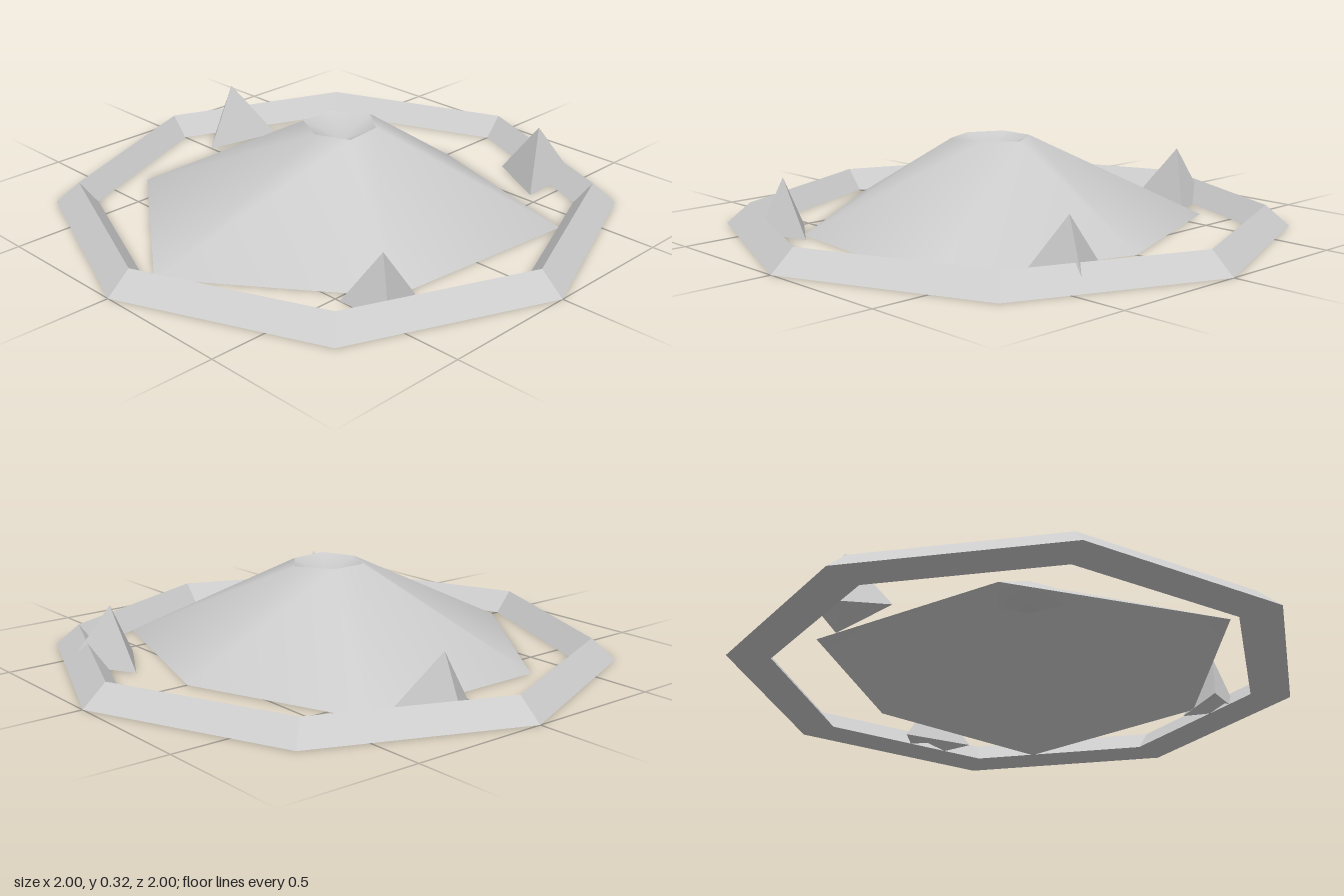
import * as THREE from 'three';

const flat = new THREE.MeshStandardMaterial({ color: 0xcccccc, flatShading: true, side: THREE.DoubleSide });
const smooth = new THREE.MeshStandardMaterial({ color: 0xcccccc, side: THREE.DoubleSide });

function mesh(name, geometry, material) {
  const m = new THREE.Mesh(geometry, material);
  m.name = name;
  return m;
}

function build(points, index) {
  const g = new THREE.BufferGeometry();
  g.setAttribute('position', new THREE.Float32BufferAttribute(points.flat(), 3));
  g.setIndex(index);
  g.computeVertexNormals();
  return g;
}

// Turn [x, z] corners into points at height y
const loop = (corners, y) => corners.map(([x, z]) => [x, y, z]);

// Wall joining two loops of equal length
function wall(lower, upper) {
  const n = lower.length, index = [];
  for (let i = 0; i < n; i++) {
    const j = (i + 1) % n;
    index.push(i, j, n + j, i, n + j, n + i);
  }
  return build([...lower, ...upper], index);
}

// Fan from a loop to one point
function fan(rim, tip) {
  const n = rim.length, index = [];
  for (let i = 0; i < n; i++) index.push(i, (i + 1) % n, n);
  return build([...rim, tip], index);
}

export function createModel() {
  const model = new THREE.Group();
  model.name = 'moundWithRing';

  // Eight-sided ring with a triangular section
  const section = [[1, 0], [0.915, 0.075], [0.85, 0], [1, 0]].map(([r, y]) => new THREE.Vector2(r, y));
  model.add(mesh('outerRing', new THREE.LatheGeometry(section, 8), flat));

  // Irregular six-sided mound, open below, with a shallow crater
  const foot = loop([[0.61, 0], [0.37, -0.63], [-0.36, -0.63], [-0.82, 0], [-0.36, 0.62], [0.4, 0.69]], 0);
  const rim = loop([[0.12, 0.05], [0.04, -0.07], [-0.09, -0.07], [-0.15, 0.05], [-0.1, 0.17], [0.04, 0.155]], 0.32);
  model.add(mesh('moundSlope', wall(foot, rim), smooth));
  model.add(mesh('crater', fan(rim, [-0.02, 0.26, 0.05]), smooth));

  // Three-sided rocks: corners, then peak
  const rocks = [
    { corners: [[0, -0.69], [0.285, -0.63], [0.19, -0.87]], peak: [0.16, 0.205, -0.745] },
    { corners: [[0.54, 0.455], [0.8, 0.45], [0.67, 0.22]], peak: [0.67, 0.205, 0.38] },
    { corners: [[-0.5, 0.52], [-0.49, 0.72], [-0.3, 0.655]], peak: [-0.44, 0.195, 0.645] },
  ];
  rocks.forEach(({ corners, peak }, i) => {
    const rock = new THREE.Group();
    rock.name = `rock${i + 1}`;
    const base = loop(corners, 0);
    rock.add(mesh('rockSides', fan(base, peak), flat));
    // Hollowed underside
    rock.add(mesh('rockUnderside', fan([...base].reverse(), [peak[0], 0.04, peak[2]]), flat));
    model.add(rock);
  });

  return model;
}
